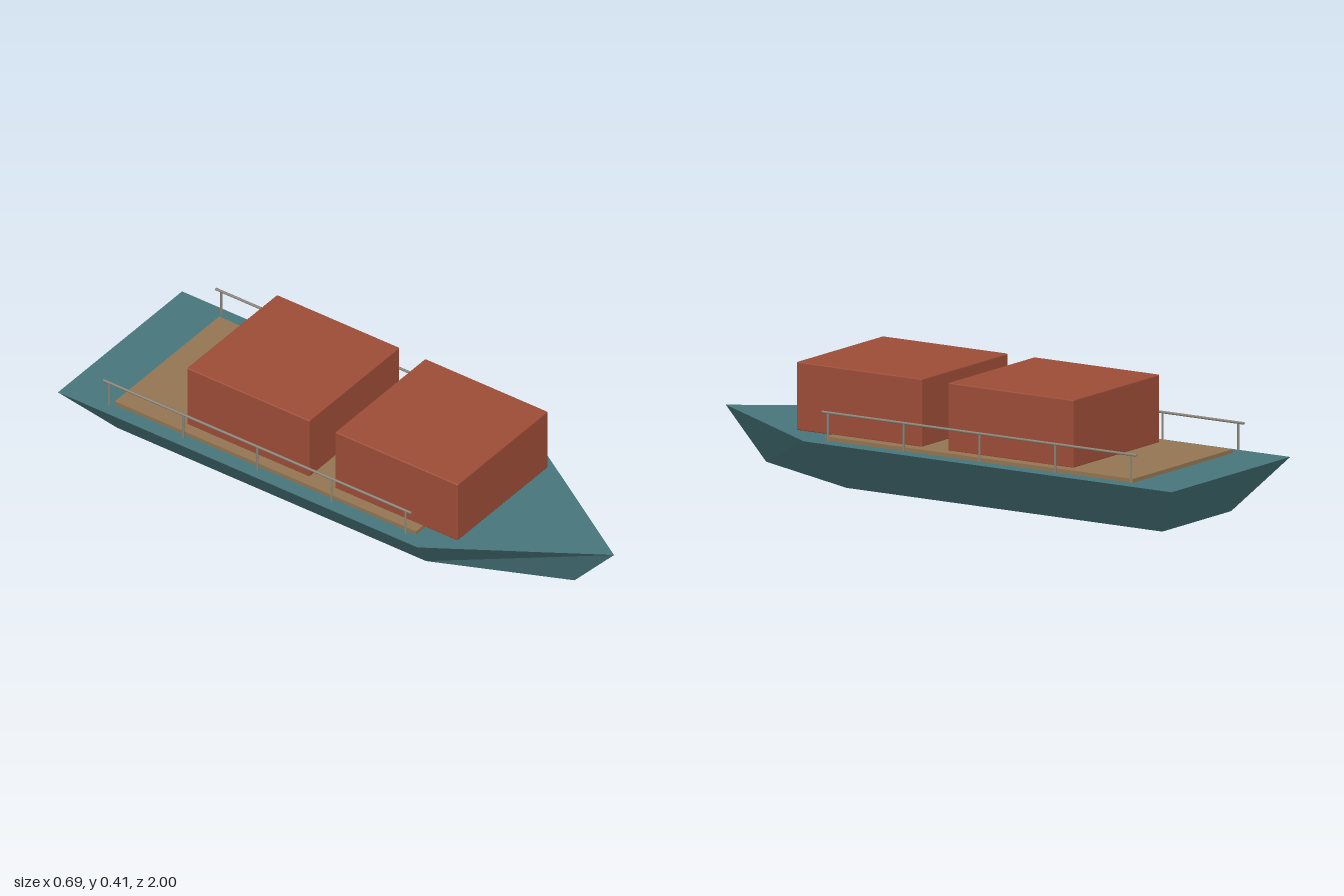
import * as THREE from 'three';
import { RoundedBoxGeometry } from 'three/addons/geometries/RoundedBoxGeometry.js';

const paint = (color) => new THREE.MeshStandardMaterial({ color, flatShading: true });

// Pointed five-sided outline, given as [x, z] running bow, right, stern, left
function outline(halfWidth, bow, shoulder, stern) {
  return [[0, bow], [halfWidth, shoulder], [halfWidth, stern], [-halfWidth, stern], [-halfWidth, shoulder]];
}

// Loft between keel and deck outlines, closed above and below
function hullGeometry(deckY) {
  const top = outline(0.345, 1, 0.455, -1);
  const base = outline(0.2, 0.84, 0.385, -0.865);
  const points = [...base.map(([x, z]) => [x, 0, z]), ...top.map(([x, z]) => [x, deckY, z])].flat();
  const n = top.length;
  const index = [];
  for (let i = 0; i < n; i++) {
    const j = (i + 1) % n;
    index.push(i, j, n + j, i, n + j, n + i);
    if (i > 0 && i < n - 1) {
      index.push(0, i + 1, i);
      index.push(n, n + i, n + i + 1);
    }
  }
  const indexed = new THREE.BufferGeometry();
  indexed.setAttribute('position', new THREE.Float32BufferAttribute(points, 3));
  indexed.setIndex(index);
  const geometry = indexed.toNonIndexed();
  geometry.computeVertexNormals();
  return geometry;
}

export function createModel() {
  const model = new THREE.Group();
  model.name = 'cargoBarge';
  const deckY = 0.172;
  const hullPaint = paint(0x47757a);
  const wood = paint(0x937552);
  const rust = paint(0x9c4c37);
  const metal = new THREE.MeshStandardMaterial({ color: 0x8a8478 });

  const add = (name, geometry, material, x, y, z, parent = model) => {
    const mesh = new THREE.Mesh(geometry, material);
    mesh.name = name;
    mesh.position.set(x, y, z);
    parent.add(mesh);
    return mesh;
  };

  add('hull', hullGeometry(deckY), hullPaint, 0, 0, 0);

  // Raised planked floor
  add('deckFloor', new THREE.BoxGeometry(0.58, 0.014, 1.22), wood, 0, deckY + 0.006, -0.2);

  // Two cargo containers with slightly softened edges
  const box = new RoundedBoxGeometry(0.502, 0.228, 0.496, 2, 0.004);
  add('frontContainer', box, rust, 0, 0.297, 0.301);
  add('rearContainer', box, rust, 0, 0.297, -0.299);

  // Side railings: a handrail on five posts
  const postGeometry = new THREE.CylinderGeometry(0.0038, 0.0038, 0.094, 8);
  const railGeometry = new THREE.CylinderGeometry(0.0045, 0.0045, 1.245, 8).rotateX(Math.PI / 2);
  for (const side of [-1, 1]) {
    const railing = new THREE.Group();
    railing.name = side > 0 ? 'leftRailing' : 'rightRailing';
    model.add(railing);
    add('handrail', railGeometry, metal, side * 0.312, 0.271, -0.217, railing);
    for (let i = 0; i < 5; i++) {
      add('railPost', postGeometry, metal, side * 0.312, 0.224, 0.383 - i * 0.3, railing);
    }
  }
  return model;
}
